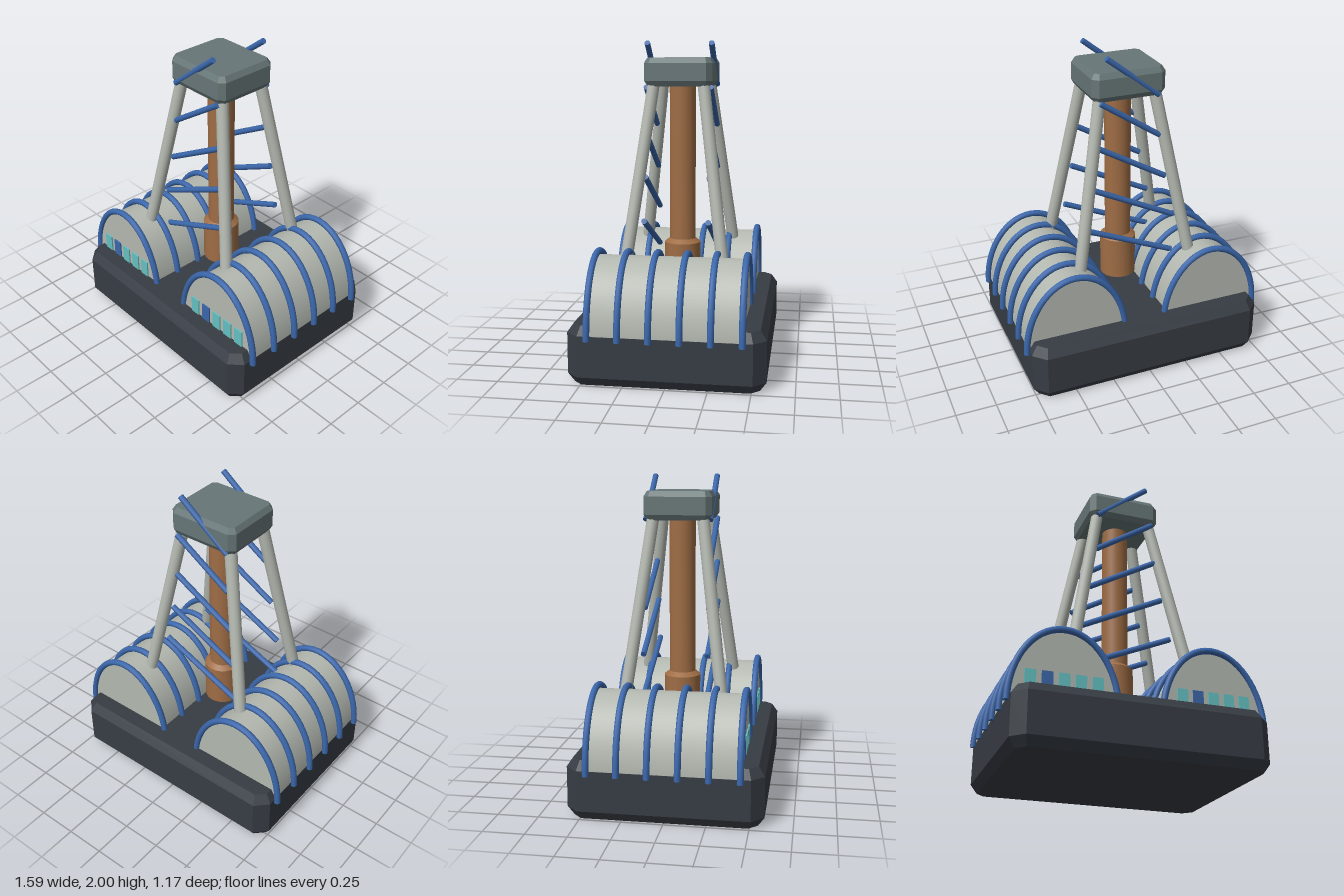
import * as THREE from 'three';
import { mergeGeometries, toCreasedNormals } from 'three/addons/utils/BufferGeometryUtils.js';

const material = (name, color) => new THREE.MeshStandardMaterial({ name, color });

// Box with chamfered corners and rims, standing on y = 0
function chamferedBlock(w, h, d, cut, bevel, rise) {
  const x = w / 2 - bevel, z = d / 2 - bevel, c = cut - 0.586 * bevel;
  const shape = new THREE.Shape([
    [x, -z + c], [x, z - c], [x - c, z], [-x + c, z],
    [-x, z - c], [-x, -z + c], [-x + c, -z], [x - c, -z],
  ].map(([a, b]) => new THREE.Vector2(a, b)));
  const geo = new THREE.ExtrudeGeometry(shape, {
    depth: h - 2 * rise, bevelEnabled: true, bevelSegments: 1, bevelSize: bevel, bevelThickness: rise,
  });
  return geo.rotateX(-Math.PI / 2).translate(0, rise, 0);
}

// Straight round bar between two points
function bar(from, to, radius, sides) {
  const a = new THREE.Vector3(...from), b = new THREE.Vector3(...to);
  const dir = b.clone().sub(a);
  const geo = new THREE.CylinderGeometry(radius, radius, dir.length(), sides);
  geo.applyQuaternion(new THREE.Quaternion().setFromUnitVectors(new THREE.Vector3(0, 1, 0), dir.normalize()));
  const mid = a.add(b).multiplyScalar(0.5);
  return geo.translate(mid.x, mid.y, mid.z);
}

// Half-ellipse hoop with closed feet
function hoopGeometry(rx, ry, radius) {
  const points = [];
  for (let i = 0; i <= 20; i++) {
    const t = (i / 20) * Math.PI;
    points.push(new THREE.Vector3(rx * Math.cos(t), ry * Math.sin(t), 0));
  }
  const parts = [new THREE.TubeGeometry(new THREE.CatmullRomCurve3(points), 32, radius, 10)];
  for (const s of [-1, 1]) {
    parts.push(new THREE.CircleGeometry(radius, 10).rotateX(Math.PI / 2).translate(s * rx, 0, 0));
  }
  return mergeGeometries(parts);
}

export function createModel() {
  const model = new THREE.Group();
  const charcoal = material('charcoal', 0x373c44);
  const paleGrey = material('pale grey', 0xb3b8b0);
  const blue = material('blue', 0x3b67ab);
  const slate = material('slate', 0x677677);
  const brown = material('brown', 0x9f6d45);
  const teal = material('teal', 0x65c1c3);

  const add = (parent, name, geo, mat, x = 0, y = 0, z = 0) => {
    const mesh = new THREE.Mesh(geo, mat);
    mesh.name = name;
    mesh.position.set(x, y, z);
    parent.add(mesh);
    return mesh;
  };

  // Base and tower cap
  add(model, 'base', chamferedBlock(1.53, 0.36, 1.17, 0.075, 0.038, 0.056), charcoal);
  add(model, 'towerCap', chamferedBlock(0.467, 0.175, 0.42, 0.035, 0.02, 0.033), slate, 0, 1.722, 0);

  // Vaulted halls with hoops and front windows
  const arch = new THREE.Shape();
  arch.absellipse(0, 0, 0.31, 0.44, 0, Math.PI, false);
  const vault = toCreasedNormals(new THREE.ExtrudeGeometry(arch, {
    depth: 0.9, bevelEnabled: false, curveSegments: 24,
  }).translate(0, 0, -0.45), 0.6);
  const hoop = hoopGeometry(0.322, 0.462, 0.02);
  const pane = new THREE.BoxGeometry(0.065, 0.13, 0.009);
  for (const side of [-1, 1]) {
    const hall = new THREE.Group();
    hall.name = side > 0 ? 'leftHall' : 'rightHall';
    hall.position.set(side * 0.455, 0.28, 0);
    add(hall, 'vault', vault, paleGrey);
    for (let i = 0; i < 6; i++) add(hall, 'hoop', hoop, blue, 0, 0, -0.45 + i * 0.18);
    for (let i = 0; i < 5; i++) {
      add(hall, 'window', pane, i === 1 ? blue : teal, (i - 2) * 0.098, 0.128, 0.4545);
    }
    model.add(hall);
  }

  // Central column with a wider foot
  const profile = [[0, 0.457], [0.115, 0.457], [0.115, 0.725], [0.083, 0.75], [0.083, 1.76], [0, 1.76]]
    .map(([r, y]) => new THREE.Vector2(r, y));
  add(model, 'column', toCreasedNormals(new THREE.LatheGeometry(profile, 24), 0.5), brown);

  // Four splayed tower legs
  for (const sx of [-1, 1]) {
    for (const sz of [-1, 1]) {
      add(model, 'towerLeg', bar([sx * 0.38, 0.62, sz * 0.302], [sx * 0.175, 1.75, sz * 0.152], 0.038, 16), paleGrey);
    }
  }

  // Slanted rods on the front and back of the tower: x, y of each end
  const rods = [
    [-0.185, 1.725, 0.15, 1.985],
    [-0.192, 1.468, 0.188, 1.718],
    [-0.235, 1.187, 0.2, 1.435],
    [-0.292, 0.907, 0.243, 1.17],
    [-0.31, 0.64, 0.295, 0.903],
  ];
  for (const z of [-0.198, 0.198]) {
    for (const [x0, y0, x1, y1] of rods) {
      add(model, 'slantedRod', bar([x0, y0, z], [x1, y1, z], 0.018, 10), blue);
    }
  }
  return model;
}
